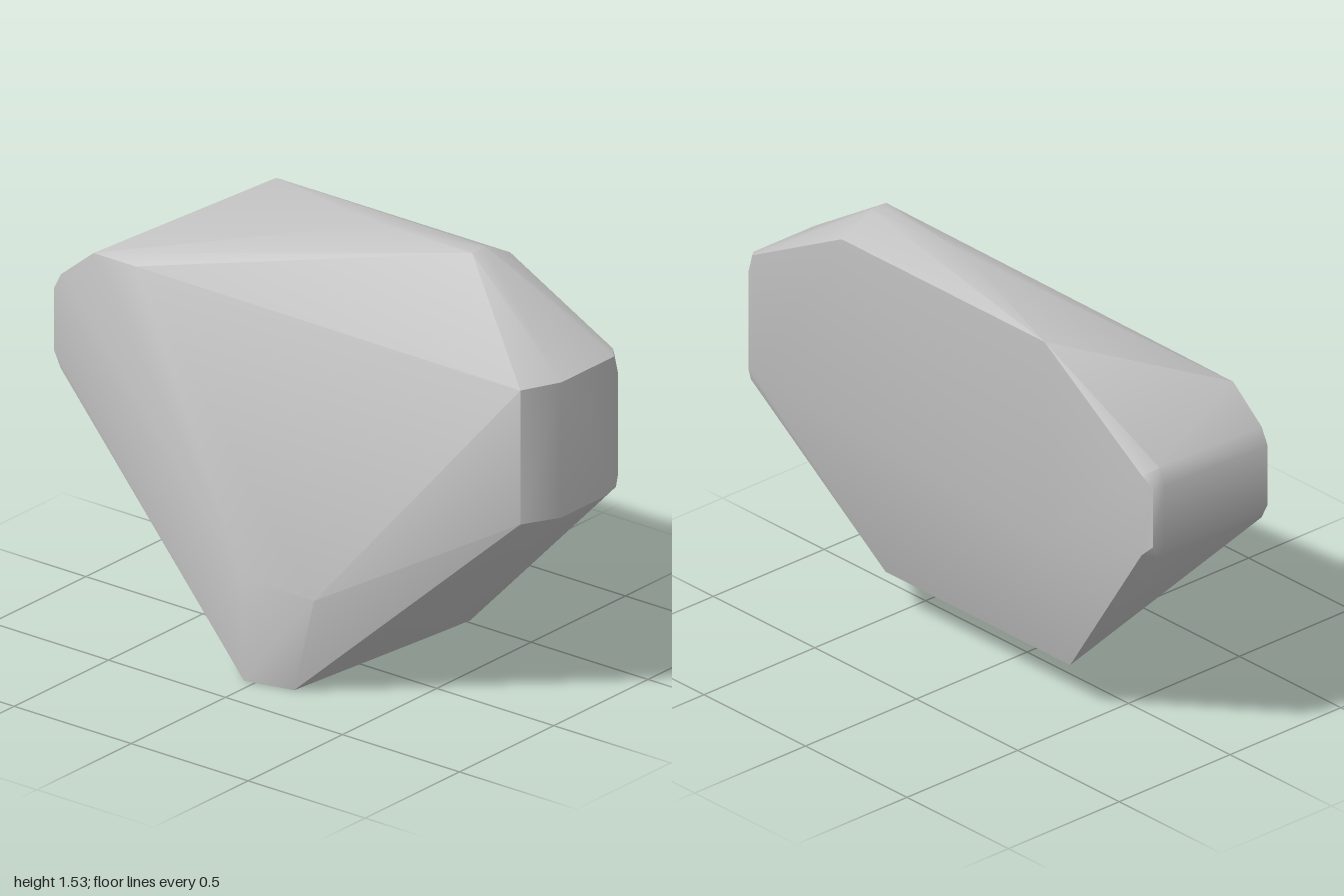
import * as THREE from 'three';
import { ConvexGeometry } from 'three/addons/geometries/ConvexGeometry.js';
import { toCreasedNormals } from 'three/addons/utils/BufferGeometryUtils.js';

export function createModel() {
  const group = new THREE.Group();
  group.name = 'boulder';
  const stone = new THREE.MeshStandardMaterial({ color: 0xc3c3c3 });
  stone.name = 'stone grey';

  // Corners of each side of the boulder, as x, y, z
  const corners = [
    // front end with softened corners
    [-0.09, 1.225, 0.93], [0.04, 1.23, 1], [0.32, 1.23, 1], [0.342, 1.16, 1],
    [0.342, 0.8, 1], [0.33, 0.755, 1], [0.28, 0.74, 1], [0.04, 0.74, 1], [-0.09, 0.74, 0.93],
    // top ridge
    [0.15, 1.535, 0.53], [0.22, 1.535, 0.53], [0.18, 1.535, 0.49], [0.18, 1.52, 0.12],
    [0.352, 1.47, 0.53], [0.352, 1.47, -0.47],
    // broad left side
    [0.352, 1.24, 0.97], [0.352, 0.8, 0.97], [0.352, 0.73, -0.48],
    [0.19, 0.18, 0.49], [0.19, 0.18, -0.42],
    // rounded back end
    [-0.17, 1.275, -0.65], [-0.17, 1.275, -0.83], [-0.17, 1.16, -0.97], [-0.17, 1.1, -1],
    [-0.17, 0.88, -1], [-0.17, 0.82, -0.97],
    [0.28, 1.16, -0.96], [0.28, 1.1, -0.985], [0.28, 0.88, -0.985], [0.28, 0.82, -0.955],
    [0.32, 1.1, -0.97], [0.32, 0.88, -0.97], [0.335, 1.14, -0.93], [0.335, 0.84, -0.93],
    // narrow right side
    [-0.352, 0.37, 0.26], [-0.352, 0.37, -0.04], [-0.352, 0, -0.04],
    // foot
    [0.02, 0.19, 0.49], [-0.09, 0, 0.14], [-0.31, 0, 0.14], [-0.09, 0, -0.1], [-0.25, 0, -0.1],
  ].map((p) => new THREE.Vector3(...p));

  // Shallow bends stay smooth, sharp ridges stay crisp
  const rock = new THREE.Mesh(toCreasedNormals(new ConvexGeometry(corners), 0.62), stone);
  rock.name = 'rock';
  group.add(rock);
  return group;
}
